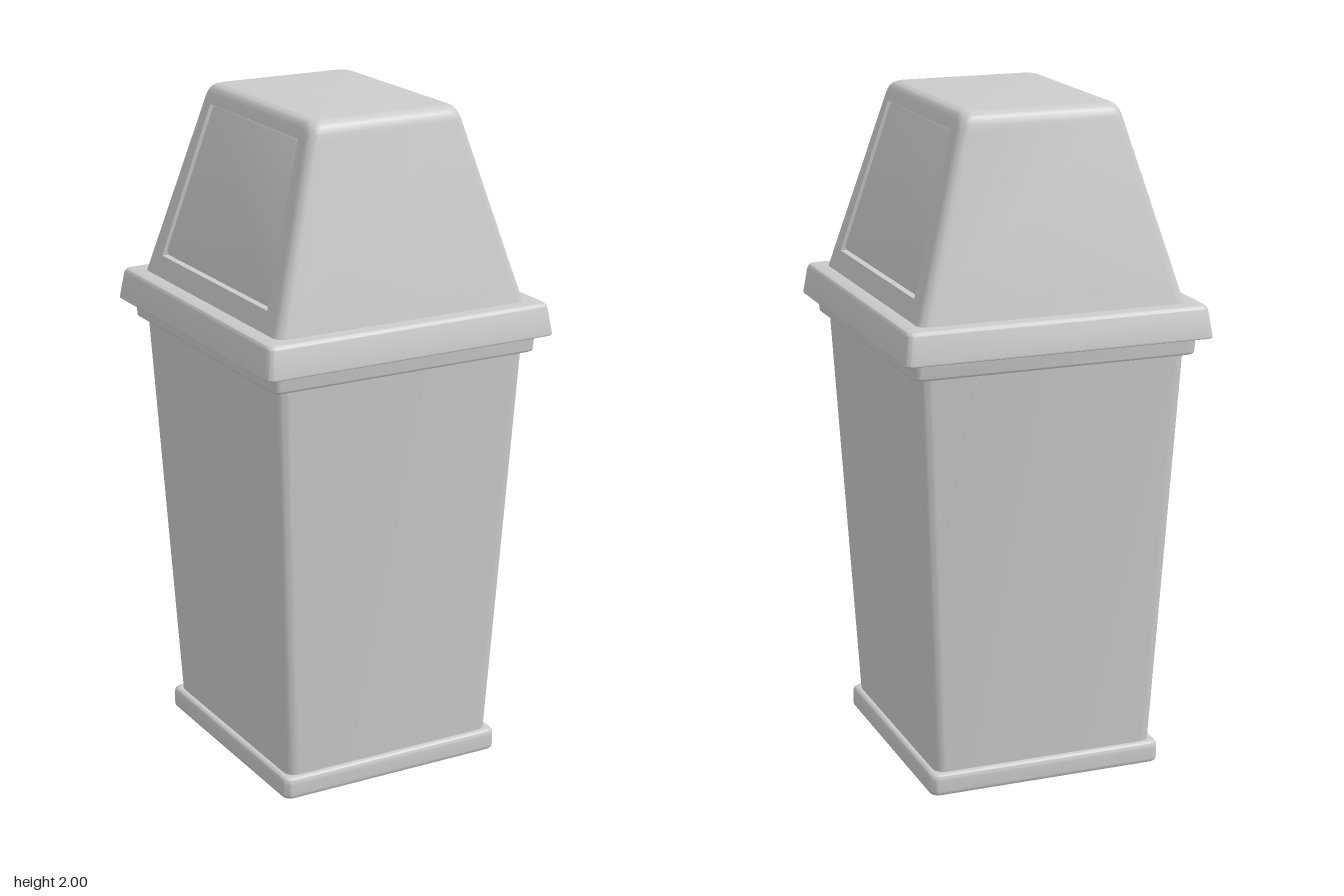
import * as THREE from 'three';
import { toCreasedNormals } from 'three/addons/utils/BufferGeometryUtils.js';

const material = new THREE.MeshStandardMaterial({ color: 0xcccccc });

// Flap opening: bottom and top heights with their half widths
const OPEN = { y0: 1.49, y1: 1.945, z0: 0.335, z1: 0.27, depth: 0.02 };
// Lid slope on the flap sides
const lidX = (y) => 0.405 - 0.2963 * (y - 1.43);
const lidZ = (y) => 0.43 - 0.184 * (y - 1.43);

// Round the corners of a profile; each entry is [halfX, y, halfZ, round, recess]
function roundProfile(points) {
  const out = [];
  points.forEach(([x, y, z, round = 0, recess = 0], i) => {
    const p = new THREE.Vector3(x, y, z);
    if (!round) return out.push({ p, recess });
    const toward = (q) => {
      const v = new THREE.Vector3(q[0], q[1], q[2]).sub(p);
      return p.clone().addScaledVector(v.normalize(), round);
    };
    const curve = new THREE.QuadraticBezierCurve3(toward(points[i - 1]), p, toward(points[i + 1]));
    curve.getPoints(6).forEach((q) => out.push({ p: q, recess }));
  });
  return out;
}

// Rounded rectangle ring, with an optional indent on both x sides
function ring({ p, recess }, radius) {
  const r = Math.min(radius, p.x, p.z);
  const t = THREE.MathUtils.clamp((p.y - OPEN.y0) / (OPEN.y1 - OPEN.y0), 0, 1);
  const zp = Math.min(THREE.MathUtils.lerp(OPEN.z0, OPEN.z1, t), p.z - r);
  const pts = [];
  const add = (x, z) => pts.push(new THREE.Vector3(x, p.y, z));
  for (const s of [1, -1]) {
    add(s * p.x, -s * zp);
    add(s * (p.x - recess), -s * zp);
    add(s * (p.x - recess), s * zp);
    add(s * p.x, s * zp);
    for (let c = 0; c < 2; c++) {
      for (let k = 0; k <= 6; k++) {
        const a = (c + k / 6) * Math.PI / 2;
        const side = c ? -1 : 1;
        add(s * (side * (p.x - r) + r * Math.cos(a)), s * (p.z - r + r * Math.sin(a)));
      }
    }
  }
  return pts;
}

// Skin a stack of rings, running from the bottom centre to the top centre
function loft(name, profile, radius) {
  const rings = roundProfile(profile).map((s) => ring(s, radius));
  const pos = [];
  const tri = (a, b, c) => {
    const area = b.clone().sub(a).cross(c.clone().sub(a)).length();
    if (area > 1e-9) pos.push(...a.toArray(), ...b.toArray(), ...c.toArray());
  };
  for (let i = 0; i < rings.length - 1; i++) {
    const lo = rings[i], hi = rings[i + 1], n = lo.length;
    for (let j = 0; j < n; j++) {
      const k = (j + 1) % n;
      tri(lo[j], hi[j], lo[k]);
      tri(lo[k], hi[j], hi[k]);
    }
  }
  const geometry = new THREE.BufferGeometry();
  geometry.setAttribute('position', new THREE.Float32BufferAttribute(pos, 3));
  const mesh = new THREE.Mesh(toCreasedNormals(geometry, 0.6), material);
  mesh.name = name;
  return mesh;
}

// Trapezoid flap with rounded corners, lying in the recess on the +x slope
function flapGeometry() {
  const gap = 0.006, r = 0.015;
  const up = new THREE.Vector3(lidX(2) - lidX(1), 1, 0).normalize();
  const normal = new THREE.Vector3(up.y, -up.x, 0);
  const h = (OPEN.y1 - OPEN.y0) / up.y - gap;
  const a = OPEN.z0 - gap, b = OPEN.z1 - gap;
  const corners = [[-a, gap], [a, gap], [b, h], [-b, h]].map((c) => new THREE.Vector2(...c));
  const shape = new THREE.Shape();
  corners.forEach((c, i) => {
    const step = (q) => c.clone().addScaledVector(q.clone().sub(c).normalize(), r);
    const from = step(corners[(i + 3) % 4]), to = step(corners[(i + 1) % 4]);
    if (i) shape.lineTo(from.x, from.y);
    else shape.moveTo(from.x, from.y);
    shape.quadraticCurveTo(c.x, c.y, to.x, to.y);
  });
  shape.closePath();
  const geometry = new THREE.ExtrudeGeometry(shape, {
    depth: 0.009, bevelThickness: 0.003, bevelSize: 0.003, bevelOffset: -0.003,
    bevelSegments: 2, curveSegments: 5,
  });
  const basis = new THREE.Matrix4().makeBasis(new THREE.Vector3(0, 0, -1), up, normal);
  basis.setPosition(lidX(OPEN.y0) - OPEN.depth, OPEN.y0, 0);
  return geometry.applyMatrix4(basis);
}

export function createModel() {
  const model = new THREE.Group();
  model.name = 'swingLidBin';

  // Foot with a shallow recess underneath
  model.add(loft('base', [
    [0, 0.015, 0], [0.335, 0.015, 0.355], [0.335, 0, 0.355],
    [0.363, 0, 0.383, 0.013], [0.363, 0.067, 0.383, 0.02], [0.3, 0.067, 0.32], [0, 0.067, 0],
  ], 0.025));

  // Tapered body
  model.add(loft('body', [
    [0, 0.05, 0], [0.343, 0.05, 0.365], [0.406, 1.3, 0.43], [0, 1.3, 0],
  ], 0.035));

  // Collar at the mouth of the body
  model.add(loft('collar', [
    [0, 1.283, 0], [0.427, 1.283, 0.453, 0.008], [0.431, 1.345, 0.457], [0, 1.345, 0],
  ], 0.025));

  // Overhanging skirt of the lid
  model.add(loft('lidRim', [
    [0, 1.335, 0], [0.467, 1.335, 0.491, 0.006],
    [0.453, 1.43, 0.477, 0.018], [0.38, 1.43, 0.4], [0, 1.43, 0],
  ], 0.022));

  // Sloping lid with a recess on each side
  const at = (y, round, recess) => [lidX(y), y, lidZ(y), round, recess];
  model.add(loft('lid', [
    [0, 1.42, 0], at(1.42), at(OPEN.y0), at(OPEN.y0, 0, OPEN.depth),
    at(OPEN.y1, 0, OPEN.depth), at(OPEN.y1), at(2, 0.04), [0, 2, 0],
  ], 0.032));

  // Flap on each side
  const flap = toCreasedNormals(flapGeometry(), 0.6);
  ['leftFlap', 'rightFlap'].forEach((name, i) => {
    const mesh = new THREE.Mesh(flap, material);
    mesh.name = name;
    mesh.rotation.y = i * Math.PI;
    model.add(mesh);
  });

  return model;
}
